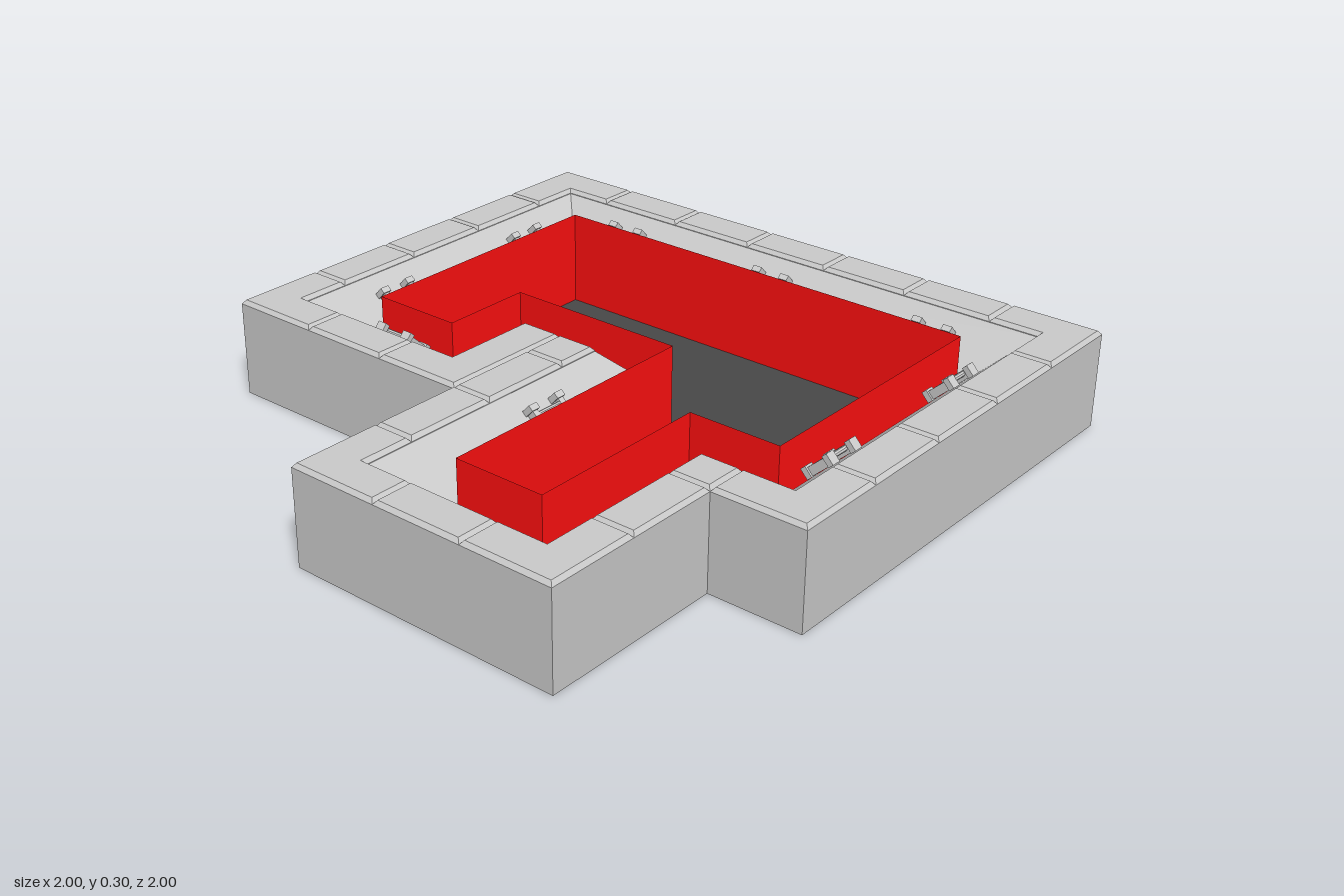
import * as THREE from 'three';

const T = 2 / 7;                      // tile size
const g = (k) => -1 + k * T;          // tile grid line
const R = 0.13;                       // rim width
const RIM = 0.286, TOP = 0.3, LEDGE = 0.143;

// Plan outlines as [x, z], all running the same way round
const outer = [[-1, -1], [-1, g(5)], [g(3), g(5)], [g(3), 1], [g(6), 1], [g(6), g(5)], [1, g(5)], [1, -1]];
const middle = [[-0.87, -0.87], [-0.87, 0.3], [-0.275, 0.3], [-0.275, 0.005], [-0.013, 0.005],
  [-0.013, 0.87], [0.584, 0.87], [0.584, 0.3], [0.87, 0.3], [0.87, -0.87]];
const inner = [[g(1), g(1)], [g(1), g(4)], [g(2), g(4)], [g(2), g(3)], [g(4), g(3)],
  [g(4), g(6)], [g(5), g(6)], [g(5), g(4)], [g(6), g(4)], [g(6), g(1)]];

const grey = new THREE.MeshStandardMaterial({ color: 0xcccccc, flatShading: true });
const dark = new THREE.MeshStandardMaterial({ color: 0x484848, side: THREE.DoubleSide });
const red = new THREE.MeshStandardMaterial({ color: 0xff1010, flatShading: true, side: THREE.DoubleSide });

function add(parent, name, geometry, material = grey) {
  const mesh = new THREE.Mesh(geometry, material);
  mesh.name = name;
  parent.add(mesh);
  return mesh;
}

// Band of quads joining two outlines at two heights
function band(a, ya, b, yb) {
  const pos = [];
  a.forEach((p, i) => {
    const j = (i + 1) % a.length;
    const a0 = [p[0], ya, p[1]], a1 = [a[j][0], ya, a[j][1]];
    const b0 = [b[i][0], yb, b[i][1]], b1 = [b[j][0], yb, b[j][1]];
    pos.push(...a0, ...a1, ...b1, ...a0, ...b1, ...b0);
  });
  const geo = new THREE.BufferGeometry();
  geo.setAttribute('position', new THREE.Float32BufferAttribute(pos, 3));
  geo.computeVertexNormals();
  return geo;
}

// Shape lying in plan; sign -1 suits upward faces, +1 downward ones
function plan(points, hole, sign = -1) {
  const v = (list) => list.map(([x, z]) => new THREE.Vector2(x, sign * z));
  const shape = new THREE.Shape(v(points));
  if (hole) shape.holes.push(new THREE.Path(v(hole)));
  return shape;
}

// Bevelled coping stone, its lower half sunk into the rim
function stone(parent, points) {
  const geo = new THREE.ExtrudeGeometry(plan(points), {
    depth: 0.002, bevelEnabled: true, bevelThickness: 0.012, bevelSize: 0.01,
    bevelOffset: -0.01, bevelSegments: 1,
  });
  geo.rotateX(-Math.PI / 2).translate(0, TOP - 0.014, 0);
  add(parent, 'copingStone', geo);
}
const rect = (x0, z0, x1, z1) => [[x0, z0], [x0, z1], [x1, z1], [x1, z0]];
const corner = (x, z, sx, sz) => [[0, 0], [T, 0], [T, R], [R, R], [R, T], [0, T]]
  .map(([u, w]) => [x + sx * u, z + sz * w]);

// Small two-bar rack lying on the slope
function rack(x, z, turn) {
  const group = new THREE.Group();
  group.name = 'rack';
  for (const s of [-1, 1]) {
    add(group, 'rackPost', new THREE.BoxGeometry(0.018, 0.026, 0.09)).position.set(s * 0.05, 0.013, 0);
    for (const e of [-1, 1]) {
      add(group, 'rackFoot', new THREE.BoxGeometry(0.03, 0.034, 0.018)).position.set(s * 0.05, 0.015, e * 0.042);
    }
    const bar = add(group, 'rackBar', new THREE.CylinderGeometry(0.008, 0.008, 0.1, 8));
    bar.rotation.z = Math.PI / 2;
    bar.position.set(0, 0.018, s * 0.02);
  }
  group.position.set(x, (RIM + LEDGE) / 2, z);
  group.rotation.order = 'YXZ';
  group.rotation.set(Math.atan2(RIM - LEDGE, 0.155), turn, 0);
  return group;
}

export function createModel() {
  const model = new THREE.Group();
  model.name = 'basin';

  // Shell
  add(model, 'outerWall', band(outer, 0, outer, RIM));
  add(model, 'rim', new THREE.ShapeGeometry(plan(outer, middle)).rotateX(-Math.PI / 2).translate(0, RIM, 0));
  add(model, 'slope', band(middle, RIM, inner, LEDGE));
  add(model, 'underside', new THREE.ShapeGeometry(plan(outer, inner, 1)).rotateX(Math.PI / 2));
  add(model, 'innerWall', band(inner, TOP - 0.003, inner, 0), red);
  add(model, 'floor', new THREE.ShapeGeometry(plan(inner)).rotateX(-Math.PI / 2), dark);

  // Coping stones: straight runs
  const coping = new THREE.Group();
  coping.name = 'coping';
  model.add(coping);
  for (let k = 1; k < 6; k++) stone(coping, rect(g(k), -1, g(k + 1), -1 + R));
  for (let k = 1; k < 4; k++) {
    stone(coping, rect(-1, g(k), -1 + R, g(k + 1)));
    stone(coping, rect(1 - R, g(k), 1, g(k + 1)));
  }
  stone(coping, rect(g(1), g(5) - R, g(2), g(5)));
  stone(coping, rect(g(4), 1 - R, g(5), 1));
  stone(coping, rect(g(3), 0.005, g(3) + R, g(4)));
  for (const k of [4, 5]) stone(coping, rect(g(3), g(k), g(3) + R, g(k + 1)));
  stone(coping, rect(g(6) - R, g(5), g(6), g(6)));
  stone(coping, rect(g(6) - R, g(5) - R, g(6), g(5)));

  // Coping stones: corners and the stub beside the channel
  const corners = [[-1, -1, 1, 1], [1, -1, -1, 1], [-1, g(5), 1, -1], [1, g(5), -1, -1],
    [g(3), 1, 1, -1], [g(6), 1, -1, -1]];
  for (const c of corners) stone(coping, corner(...c));
  stone(coping, [[g(2), g(5)], [g(3), g(5)], [g(3), 0.005], [-0.275, 0.005], [-0.275, g(5) - R], [g(2), g(5) - R]]);

  // Racks on the slopes
  const Q = Math.PI / 2, d = 0.785;
  for (const x of [-2 * T, 0, 2 * T]) model.add(rack(x, -d, 0));
  for (const z of [-2 * T, 0]) model.add(rack(-d, z, Q), rack(d, z, -Q));
  model.add(rack(-2 * T, 0.214, Math.PI), rack(0.07, T, Q));

  return model;
}
